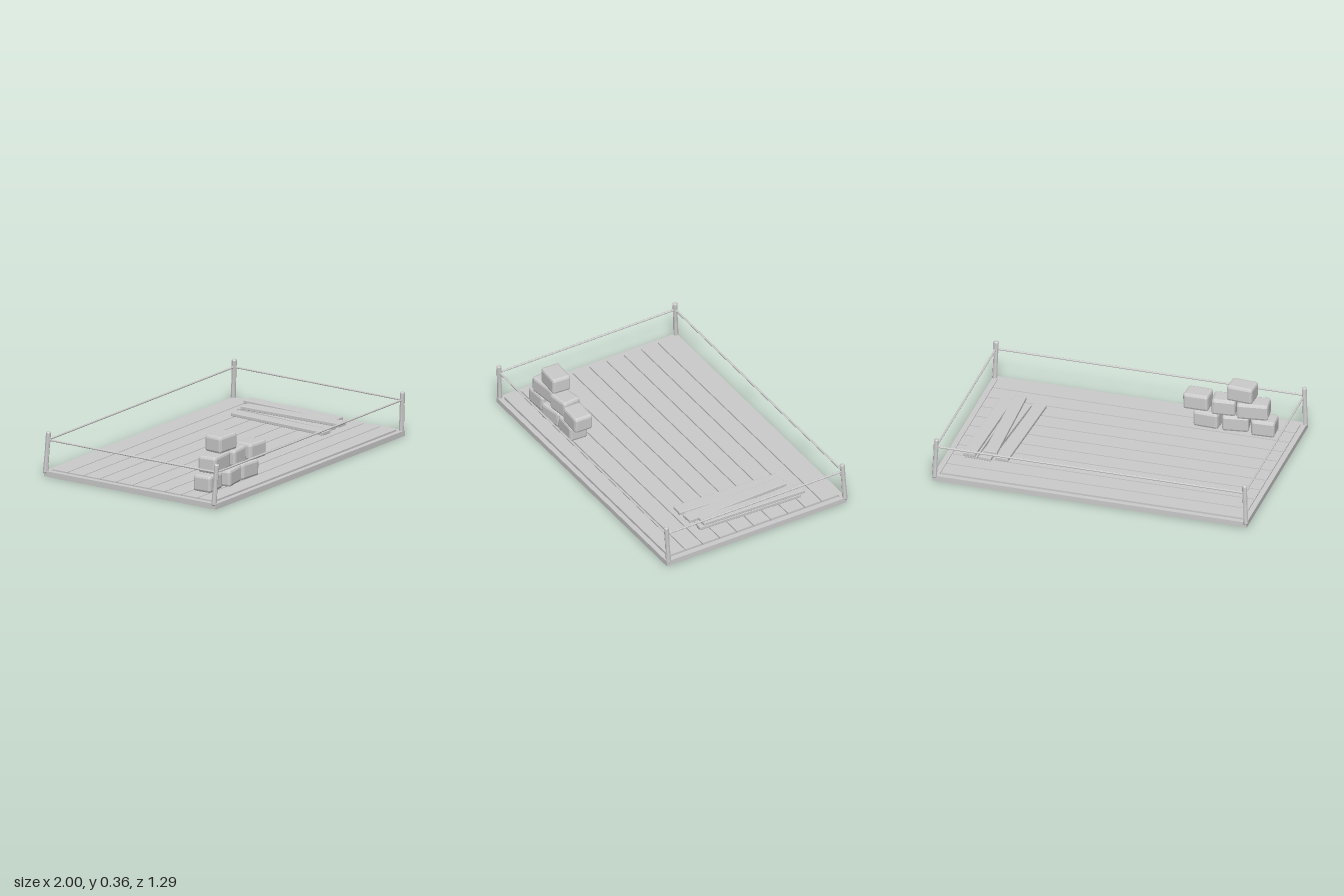
import * as THREE from 'three';
import { RoundedBoxGeometry } from 'three/addons/geometries/RoundedBoxGeometry.js';

export function createModel() {
  const group = new THREE.Group();
  const grey = new THREE.MeshStandardMaterial({ color: 0xcccccc, flatShading: true });
  grey.name = 'plain grey';

  const add = (name, geometry, x, y, z) => {
    const mesh = new THREE.Mesh(geometry, grey);
    mesh.name = name;
    mesh.position.set(x, y, z);
    group.add(mesh);
    return mesh;
  };
  const box = (name, w, h, d, x, y, z) => add(name, new THREE.BoxGeometry(w, h, d), x, y, z);
  // Box with chamfered edges and flat faces
  const chamferBox = (w, h, d, r) => {
    const g = new RoundedBoxGeometry(w, h, d, 1, r);
    g.computeVertexNormals();
    return g;
  };
  // Straight piece turned about its own axis, running between two points
  const between = (name, geometry, a, b) => {
    const mesh = add(name, geometry, a.x, a.y, a.z);
    mesh.quaternion.setFromUnitVectors(new THREE.Vector3(0, 1, 0), b.clone().sub(a).normalize());
  };

  // Platform: solid base, low rim and ten floor planks
  box('base', 1.98, 0.026, 1.27, 0, 0.013, 0);
  for (const s of [-1, 1]) {
    box('rimLong', 1.98, 0.012, 0.031, 0, 0.028, s * 0.6195);
    box('rimShort', 0.034, 0.012, 1.208, s * 0.973, 0.028, 0);
  }
  for (let i = 0; i < 10; i++) {
    box('floorPlank', 1.906, 0.018, 0.113, -0.004, 0.033, -0.542 + i * 0.1203);
  }

  // Leaning corner posts: base x, base z, top x, top z, base y
  const posts = [
    [-0.982, 0.616, -0.970, 0.629, 0.022],
    [0.978, 0.616, 0.972, 0.629, 0.022],
    [0.981, -0.629, 0.972, -0.614, 0.020],
    [-0.982, -0.629, -0.970, -0.614, 0.020],
  ].map(([bx, bz, tx, tz, by]) => [new THREE.Vector3(bx, by, bz), new THREE.Vector3(tx, 0.279, tz)]);
  for (const [a, b] of posts) {
    const h = a.distanceTo(b);
    const profile = [[0, 0], [0.012, 0], [0.0165, 0.006], [0.0145, h * 0.5], [0.016, h - 0.007], [0.012, h], [0, h]];
    const g = new THREE.LatheGeometry(profile.map(([r, y]) => new THREE.Vector2(r, y)), 8);
    between('cornerPost', g, a, b);
  }

  // Thin rails joining neighbouring posts
  const railPoints = posts.map(([a, b]) => a.clone().lerp(b, (0.228 - a.y) / (b.y - a.y)));
  railPoints.forEach((p, i) => {
    const q = railPoints[(i + 1) % 4];
    const length = p.distanceTo(q);
    const g = new THREE.CylinderGeometry(0.0065, 0.0065, length, 8, 1, true);
    g.translate(0, length / 2, 0);
    between('rail', g, p, q);
  });

  // Stacked stone blocks: centre x, y, z, width, turn, tilt
  const blocks = [
    [-0.781, 0.096, 0.430, 0.148, 0.06, 0.01],
    [-0.599, 0.096, 0.442, 0.165, 0.16, 0.01],
    [-0.425, 0.096, 0.438, 0.160, -0.06, -0.01],
    [-0.712, 0.203, 0.428, 0.195, 0.12, -0.01],
    [-0.530, 0.203, 0.430, 0.148, 0.12, 0.02],
    [-0.357, 0.203, 0.445, 0.160, -0.03, -0.02],
    [-0.641, 0.311, 0.427, 0.165, -0.06, 0.01],
  ];
  for (const [x, y, z, w, turn, tilt] of blocks) {
    const block = add('stoneBlock', chamferBox(w, 0.104, 0.123, 0.016), x, y, z);
    block.rotation.set(0, turn, tilt);
  }

  // Pile of loose boards: height, far end x z, near end x z
  const boards = [
    [0.059, 0.635, -0.371, 0.602, 0.331],
    [0.059, 0.737, -0.394, 0.690, 0.306],
    [0.059, 0.822, -0.394, 0.797, 0.306],
    [0.086, 0.709, -0.358, 0.734, 0.342],
    [0.086, 0.828, -0.417, 0.803, 0.281],
  ];
  for (const [y, ax, az, bx, bz] of boards) {
    const length = Math.hypot(bx - ax, bz - az);
    const board = add('looseBoard', chamferBox(0.08, 0.021, length, 0.003), (ax + bx) / 2, y, (az + bz) / 2);
    board.rotation.y = Math.atan2(bx - ax, bz - az);
  }
  return group;
}
